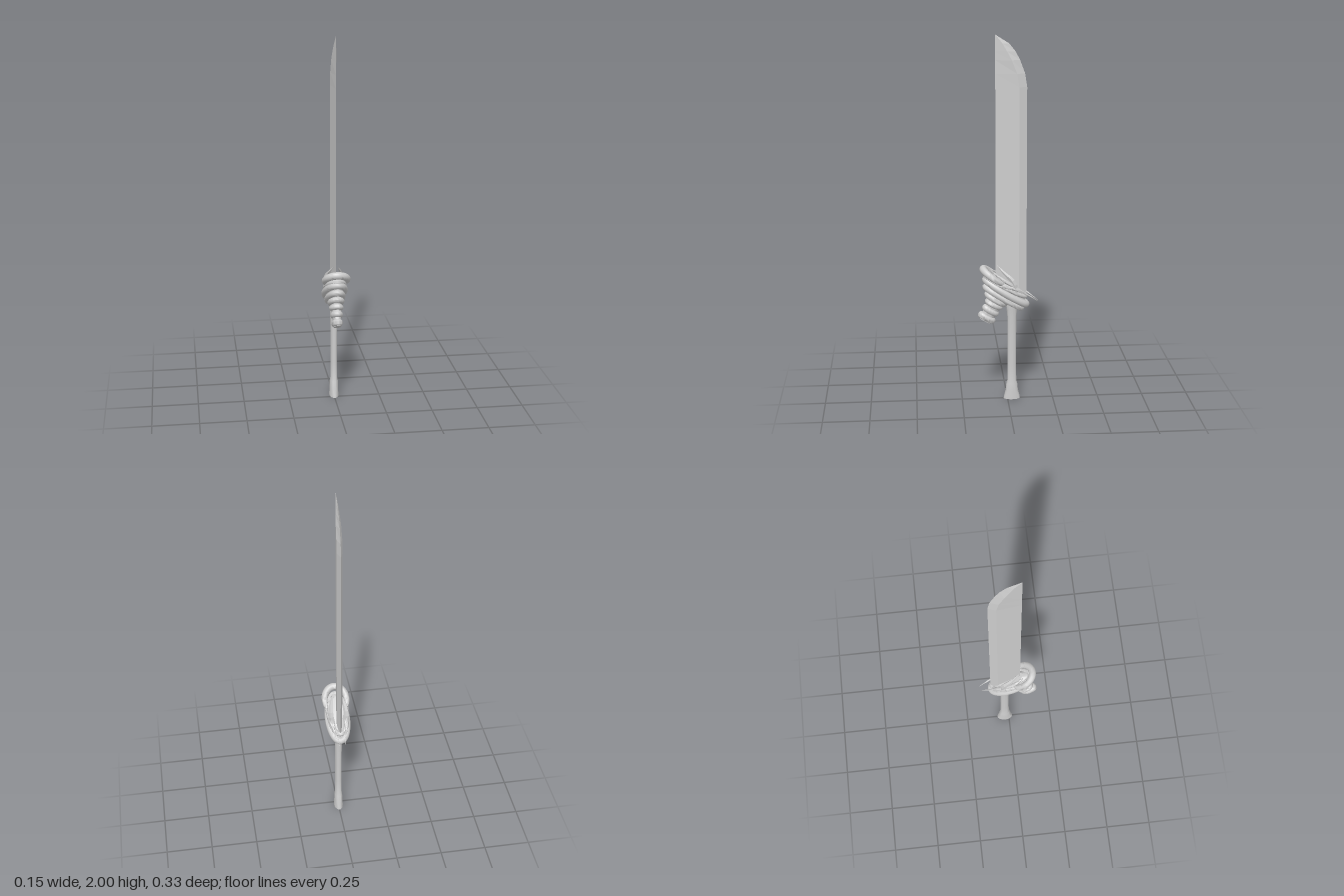
import * as THREE from 'three';
import { toCreasedNormals } from 'three/addons/utils/BufferGeometryUtils.js';

const smooth = new THREE.MeshStandardMaterial({ color: 0xcccccc });
const faceted = new THREE.MeshStandardMaterial({ color: 0xcccccc, flatShading: true });

// Skin closed loops of [x, y, z] points, ordered counter-clockwise seen from above, with end caps
function loft(loops) {
  const n = loops[0].length, pos = loops.flat(2), index = [];
  for (let r = 0; r < loops.length - 1; r++) {
    for (let i = 0; i < n; i++) {
      const a = r * n + i, b = r * n + (i + 1) % n;
      index.push(a, b, a + n, b, b + n, a + n);
    }
  }
  const top = (loops.length - 1) * n;
  for (let i = 1; i < n - 1; i++) index.push(0, i + 1, i, top, top + i, top + i + 1);
  const geo = new THREE.BufferGeometry();
  geo.setAttribute('position', new THREE.Float32BufferAttribute(pos, 3));
  geo.setIndex(index);
  geo.computeVertexNormals();
  return geo;
}

// Level ellipse at height y, centred on z = zc
function ellipse(y, zc, rx, rz, n = 28) {
  return Array.from({ length: n }, (_, i) => {
    const a = (i / n) * Math.PI * 2;
    return [rx * Math.sin(a), y, zc + rz * Math.cos(a)];
  });
}

// Tube along points, its radius varying with the fraction t of the length
function tube(points, radius, closed = false, sides = 12, steps = 48) {
  const curve = new THREE.CatmullRomCurve3(points.map(p => new THREE.Vector3(...p)), closed);
  const geo = new THREE.TubeGeometry(curve, steps, 1, sides, closed);
  const pos = geo.attributes.position, v = new THREE.Vector3();
  for (let i = 0; i < pos.count; i++) {
    const t = Math.floor(i / (sides + 1)) / steps;
    const c = curve.getPointAt(t);
    v.fromBufferAttribute(pos, i).sub(c).multiplyScalar(radius(t)).add(c);
    pos.setXYZ(i, v.x, v.y, v.z);
  }
  geo.computeVertexNormals();
  // Keep the seams of smooth tubes invisible
  return sides > 6 ? toCreasedNormals(geo, 1.2) : geo;
}

function add(parent, name, geo, material = smooth) {
  const mesh = new THREE.Mesh(geo, material);
  mesh.name = name;
  parent.add(mesh);
  return mesh;
}

export function createModel() {
  const model = new THREE.Group();
  model.name = 'sword';

  // Single-edged blade: [y, edge z, bevel z, half thickness]
  const bladeRows = [
    [0.58, -0.103, -0.062, 0.015], [1.73, -0.103, -0.062, 0.015],
    [1.8, -0.092, -0.05, 0.015], [1.87, -0.066, -0.022, 0.0135],
    [1.915, -0.042, 0.002, 0.01], [1.955, -0.01, 0.025, 0.006],
    [2.0, 0.061, 0.0615, 0.0003],
  ];
  add(model, 'blade', loft(bladeRows.map(([y, edge, bevel, t]) =>
    [[0, y, 0.063], [t, y, bevel], [0, y, edge], [-t, y, bevel]])), faceted);

  // Oval grip with a flared pommel
  const gripRows = [
    [0, 0.025, 0.045], [0.015, 0.025, 0.043], [0.05, 0.023, 0.034], [0.09, 0.022, 0.03],
    [0.105, 0.019, 0.025], [0.2, 0.018, 0.024], [0.35, 0.018, 0.024], [0.48, 0.02, 0.025],
    [0.52, 0.023, 0.029], [0.56, 0.026, 0.034], [0.62, 0.024, 0.03],
  ];
  add(model, 'grip', toCreasedNormals(
    loft(gripRows.map(([y, rx, rz]) => ellipse(y, -0.024, rx, rz))), 0.7));

  // Guard, leaning back so that its front end rises
  const guard = new THREE.Group();
  guard.name = 'guard';
  guard.position.set(0, 0.467, 0.117);
  guard.rotation.x = -Math.PI / 6;
  model.add(guard);

  // Solid core inside the coils
  const coreRows = [
    [-0.012, 0, 0.02, 0.036], [0.05, 0, 0.024, 0.038], [0.1, 0, 0.03, 0.042],
    [0.13, -0.005, 0.036, 0.065], [0.16, -0.02, 0.05, 0.115],
    [0.19, -0.015, 0.056, 0.125], [0.215, 0, 0.05, 0.115], [0.235, 0.01, 0.032, 0.08],
  ];
  add(guard, 'guardCore', toCreasedNormals(
    loft(coreRows.map(r => ellipse(...r))), 0.7));

  // Stacked coils: [y, centre z, outer half width, outer half length, tube radius, pitch]
  const coils = [
    [0.008, 0, 0.031, 0.053, 0.019, 0], [0.053, 0.002, 0.034, 0.051, 0.018, 0.02],
    [0.092, 0.004, 0.039, 0.053, 0.016, -0.03], [0.122, 0.01, 0.046, 0.07, 0.016, 0.04],
    [0.152, -0.022, 0.056, 0.132, 0.017, 0.03], [0.185, -0.018, 0.07, 0.15, 0.019, 0.05],
    [0.212, 0.0, 0.062, 0.135, 0.013, -0.02],
  ];
  coils.forEach(([y, zc, rx, rz, r, pitch], k) => {
    const path = ellipse(0, 0, rx - r, rz - r, 16)
      .map(([x, , z]) => [x, y + pitch * z, zc + z]);
    add(guard, `coil${k + 1}`, tube(path, () => r, true));
  });

  // Large open collar at the front, tapering at its rear ends
  const collar = Array.from({ length: 13 }, (_, i) => {
    const a = (i / 12 - 0.5) * Math.PI * 1.6;
    return [0.061 * Math.sin(a), 0.228 + 0.008 * Math.cos(a), 0.075 + 0.078 * Math.cos(a)];
  });
  add(guard, 'collar', tube(collar,
    t => 0.004 + 0.016 * Math.sqrt(Math.sin(Math.PI * Math.min(1, Math.max(0, t))) + 1e-6)));

  for (const s of [1, -1]) {
    const side = s > 0 ? 'left' : 'right';
    const mirror = pts => pts.map(([x, y, z]) => [s * x, y, z]);

    // Rearward horn
    add(guard, `${side}Horn`, tube(mirror([
      [0.052, 0.215, 0.03], [0.045, 0.234, -0.06], [0.028, 0.232, -0.13], [0.013, 0.225, -0.197],
    ]), t => 0.014 * (1 - t) + 0.0005));

    // Faceted spike beside the blade, pointing forward
    add(guard, `${side}Spike`, tube(mirror([
      [0.036, 0.215, -0.06], [0.042, 0.262, -0.015], [0.032, 0.278, 0.045], [0.013, 0.293, 0.1],
    ]), t => 0.019 * Math.pow(1 - t, 0.7) + 0.0005, false, 5, 8), faceted);

    // Slim ridge along the upper rim
    add(guard, `${side}Ridge`, tube(mirror([
      [0.02, 0.225, -0.12], [0.04, 0.24, -0.05], [0.046, 0.245, 0.03], [0.025, 0.25, 0.1],
    ]), t => 0.003 + 0.008 * Math.sin(Math.PI * t)));
  }
  return model;
}
